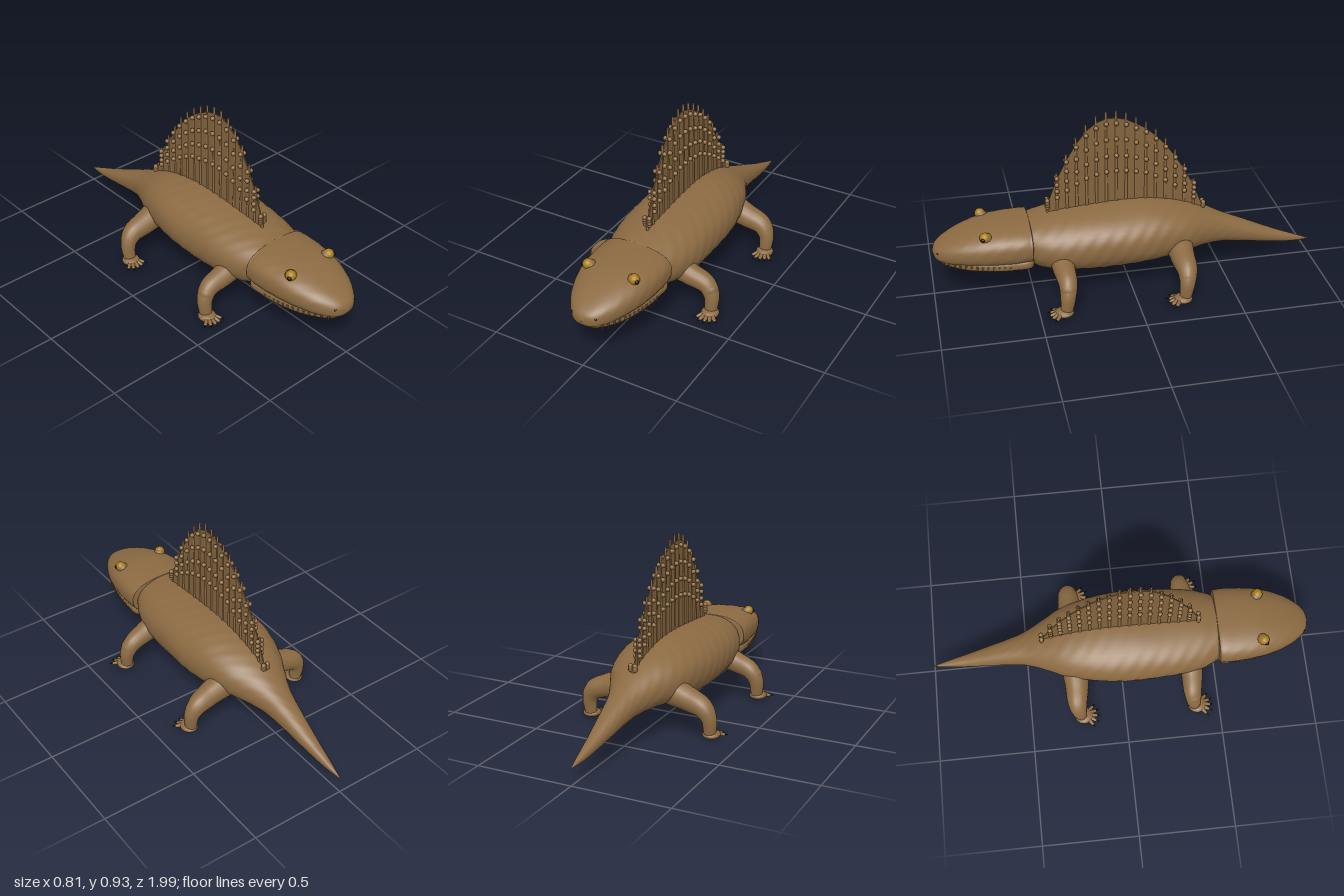
import * as THREE from 'three';

const mat = (name, color) => {
  const m = new THREE.MeshStandardMaterial({ color });
  m.name = name;
  return m;
};

export function createModel() {
  const model = new THREE.Group();
  model.name = 'sailBackedReptile';
  const skin = mat('skin', 0x8b6a42);
  const sailSkin = mat('sailSkin', 0x84643e);
  const amber = mat('amberEye', 0xa87c1a);
  const dark = mat('darkHorn', 0x1c130b);

  const add = (name, geometry, material, parent = model) => {
    const mesh = new THREE.Mesh(geometry, material);
    mesh.name = name;
    parent.add(mesh);
    return mesh;
  };
  const ball = (name, r, x, y, z, material, parent) => {
    const mesh = add(name, new THREE.SphereGeometry(r, 14, 10), material, parent);
    mesh.position.set(x, y, z);
    return mesh;
  };

  // Smooth skin over cross-sections [z, half width, top, bottom], listed by rising z
  const loft = (rows, power, bump = 0, steps = 90, sides = 48) => {
    const size = new THREE.CatmullRomCurve3(rows.map(r => new THREE.Vector3(r[1], r[2], r[3])), false, 'catmullrom', 0.5);
    const along = new THREE.CatmullRomCurve3(rows.map(r => new THREE.Vector3(0, 0, r[0])), false, 'catmullrom', 0.5);
    const pos = [], index = [];
    const bend = v => Math.sign(v) * Math.abs(v) ** (2 / power);
    for (let i = 0; i <= steps; i++) {
      const s = size.getPoint(i / steps), z = along.getPoint(i / steps).z;
      for (let j = 0; j < sides; j++) {
        const a = j / sides * Math.PI * 2;
        const k = 1 + bump * Math.sin(a * 7 + z * 31) * Math.sin(z * 47 + a * 3);
        pos.push(Math.max(s.x, 0) * k * bend(Math.cos(a)),
          (s.y + s.z) / 2 + (s.y - s.z) / 2 * k * bend(Math.sin(a)), z);
        if (i < steps) {
          const p = i * sides + j, q = i * sides + (j + 1) % sides;
          index.push(p, q, p + sides, q, q + sides, p + sides);
        }
      }
    }
    const g = new THREE.BufferGeometry();
    g.setAttribute('position', new THREE.Float32BufferAttribute(pos, 3));
    g.setIndex(index);
    g.computeVertexNormals();
    return g;
  };

  // Tube whose radius changes along the path
  const taperTube = (points, radii, steps = 28, sides = 18) => {
    const path = new THREE.CatmullRomCurve3(points.map(p => new THREE.Vector3(...p)));
    const g = new THREE.TubeGeometry(path, steps, 1, sides);
    const p = g.attributes.position, n = g.attributes.normal;
    for (let i = 0; i < p.count; i++) {
      const t = Math.floor(i / (sides + 1)) / steps;
      const f = t * (radii.length - 1), k = Math.min(Math.floor(f), radii.length - 2);
      const r = THREE.MathUtils.lerp(radii[k], radii[k + 1], f - k);
      const c = path.getPointAt(t);
      p.setXYZ(i, c.x + n.getX(i) * r, c.y + n.getY(i) * r, c.z + n.getZ(i) * r);
    }
    return g;
  };

  // Trunk and tail
  add('bodyAndTail', loft([
    [-1, 0.001, 0.086, 0.082], [-0.9, 0.02, 0.125, 0.083], [-0.8, 0.035, 0.165, 0.095],
    [-0.7, 0.05, 0.21, 0.112], [-0.6, 0.065, 0.255, 0.13], [-0.5, 0.087, 0.3, 0.145],
    [-0.4, 0.13, 0.35, 0.148], [-0.3, 0.18, 0.393, 0.143], [-0.2, 0.211, 0.42, 0.13],
    [-0.1, 0.23, 0.435, 0.117], [0, 0.239, 0.438, 0.11], [0.1, 0.24, 0.436, 0.109],
    [0.2, 0.237, 0.43, 0.11], [0.3, 0.23, 0.422, 0.115], [0.4, 0.213, 0.41, 0.125],
    [0.47, 0.188, 0.398, 0.145], [0.52, 0.16, 0.385, 0.175], [0.6, 0.12, 0.34, 0.2],
  ], 2.15, 0.009, 120), skin);

  // Head: broad skull over a slightly narrower lower jaw
  const head = new THREE.Group();
  head.name = 'head';
  model.add(head);
  const skull = [
    [0.5, 0.001, 0.29, 0.27], [0.502, 0.175, 0.382, 0.205], [0.52, 0.195, 0.392, 0.195],
    [0.6, 0.197, 0.392, 0.19], [0.7, 0.187, 0.387, 0.19], [0.77, 0.173, 0.374, 0.193],
    [0.84, 0.15, 0.354, 0.197], [0.9, 0.121, 0.332, 0.2], [0.95, 0.085, 0.308, 0.207],
    [0.98, 0.049, 0.285, 0.222], [0.993, 0.001, 0.258, 0.25],
  ];
  add('skull', loft(skull, 2.5, 0.006), skin, head);
  add('lowerJaw', loft([
    [0.5, 0.001, 0.23, 0.2], [0.505, 0.165, 0.26, 0.172], [0.6, 0.178, 0.26, 0.165],
    [0.7, 0.17, 0.26, 0.167], [0.8, 0.148, 0.26, 0.173], [0.88, 0.115, 0.26, 0.182],
    [0.94, 0.075, 0.26, 0.194], [0.965, 0.04, 0.26, 0.207], [0.975, 0.001, 0.24, 0.22],
  ], 2.7), skin, head);

  // Teeth along the upper lip, eyes and nostrils
  for (const s of [-1, 1]) {
    for (let i = 0; i < 13; i++) {
      const z = 0.62 + i * 0.027;
      const k = skull.findIndex(r => r[0] > z), a = skull[k - 1], b = skull[k];
      const w = THREE.MathUtils.mapLinear(z, a[0], b[0], a[1], b[1]);
      const tooth = add('tooth', new THREE.ConeGeometry(0.006, 0.04, 6), skin, head);
      tooth.rotation.x = Math.PI;
      tooth.position.set(s * w * 0.9, 0.196 + i * 0.0012, z);
    }
    ball('eyelid', 0.03, s * 0.119, 0.359, 0.728, skin, head);
    ball('eye', 0.027, s * 0.127, 0.369, 0.735, amber, head);
    ball('pupil', 0.011, s * 0.147, 0.367, 0.746, dark, head);
    ball('nostril', 0.007, s * 0.061, 0.268, 0.966, dark, head);
  }

  // Legs: sprawling limb, flat foot, five clawed toes
  const leg = (name, s, z, girth) => {
    const g = new THREE.Group();
    g.name = name;
    model.add(g);
    add('limb', taperTube([
      [s * 0.13, 0.225, z], [s * 0.22, 0.195, z], [s * 0.3, 0.163, z - 0.005],
      [s * 0.332, 0.11, z], [s * 0.334, 0.025, z + 0.01],
    ], [0.07 * girth, 0.06 * girth, 0.052 * girth, 0.039, 0.03]), skin, g);
    ball('elbow', 0.042, s * 0.322, 0.143, z - 0.002, skin, g);
    ball('foot', 0.046, s * 0.336, 0.022, z + 0.022, skin, g).scale.set(1, 0.46, 1.05);
    for (let i = 0; i < 5; i++) {
      const a = (i - 2) * 0.42 + 0.05, dx = s * Math.sin(a), dz = Math.cos(a);
      const at = (d, y) => [s * 0.336 + dx * d, y, z + 0.025 + dz * d];
      add('toe', taperTube([at(0.01, 0.022), at(0.035, 0.02), at(0.062, 0.014)], [0.013, 0.013, 0.008], 6, 10), skin, g);
      ball('toeTip', 0.009, ...at(0.061, 0.014), skin, g);
      const claw = add('claw', new THREE.ConeGeometry(0.007, 0.026, 8), dark, g);
      claw.position.set(...at(0.075, 0.012));
      claw.quaternion.setFromUnitVectors(new THREE.Vector3(0, 1, 0), new THREE.Vector3(dx, -0.2, dz).normalize());
    }
  };
  for (const [s, side] of [[1, 'left'], [-1, 'right']]) {
    leg(side + 'FrontLeg', s, 0.36, 0.95);
    leg(side + 'HindLeg', s, -0.245, 1.05);
  }

  // Sail: thin membrane held by a row of beaded spines
  const sail = new THREE.Group();
  sail.name = 'sail';
  model.add(sail);
  const tops = [0.485, 0.62, 0.72, 0.805, 0.87, 0.91, 0.93, 0.93, 0.917, 0.89, 0.86, 0.815, 0.76, 0.69, 0.61, 0.515, 0.385];
  const spineZ = i => 0.405 - i * 0.0505;
  const backY = z => (z < -0.1 ? 0.43 + 0.28 * (z + 0.1) : 0.43 - 0.04 * Math.max(z, 0));
  const outline = new THREE.Shape();
  outline.moveTo(spineZ(16), 0.3);
  outline.lineTo(spineZ(0), 0.38);
  tops.forEach((y, i) => outline.lineTo(spineZ(i), y - 0.035));
  const membrane = new THREE.ExtrudeGeometry(outline, { depth: 0.006, bevelEnabled: false });
  membrane.rotateY(-Math.PI / 2).translate(0.003, 0, 0);
  add('membrane', membrane, sailSkin, sail);
  tops.forEach((top, i) => {
    const z = spineZ(i), base = backY(z), foot = base - 0.03;
    const spine = add('spine', new THREE.CylinderGeometry(0.006, 0.0085, top - foot, 10), skin, sail);
    spine.position.set(0, (top + foot) / 2, z);
    for (const f of [0.36, 0.53, 0.71, 0.88]) {
      for (const s of [-1, 1]) ball('bead', 0.012, s * 0.012, base + (top - base) * f, z, skin, sail);
    }
  });
  return model;
}
